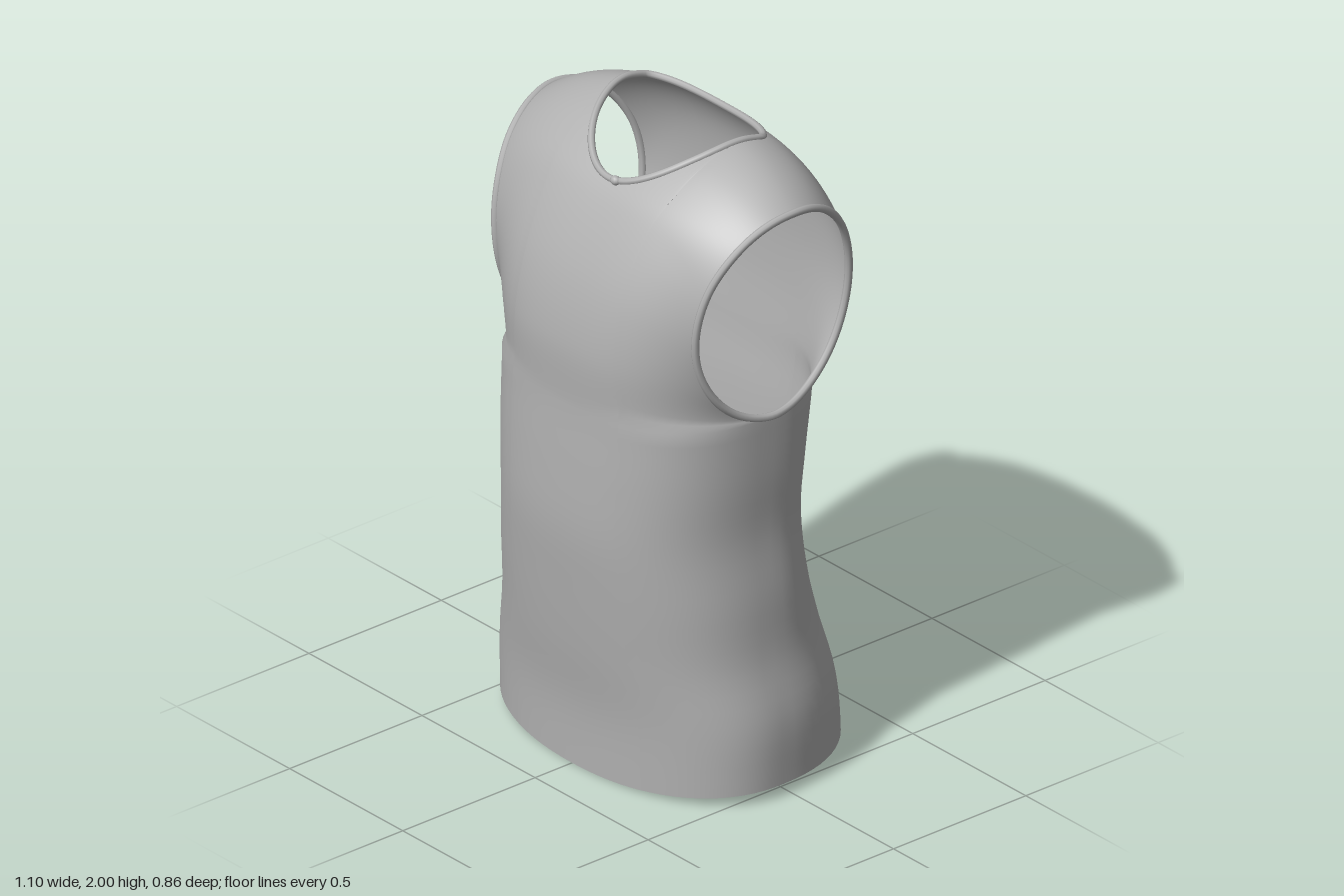
import * as THREE from 'three';
import { mergeGeometries, mergeVertices } from 'three/addons/utils/BufferGeometryUtils.js';

const V = (x, y, z) => new THREE.Vector3(x, y, z);
const NECK = 0.49;      // neck opening as a share of the half width
const JOIN = 1.2;       // height where the armholes begin

// Smooth curve through evenly spaced values
const track = (values) => {
  const c = new THREE.SplineCurve(values.map((v, i) => new THREE.Vector2(i, v)));
  return (t) => c.getPoint(THREE.MathUtils.clamp(t, 0, 1)).y;
};

// Lower body, hem to armhole: half width, front depth, back depth
const halfWidth = track([0.55, 0.545, 0.505, 0.49, 0.47, 0.475, 0.475]);
const frontZ = track([0.36, 0.365, 0.39, 0.41, 0.425, 0.42, 0.41]);
const backZ = track([-0.43, -0.4, -0.34, -0.28, -0.26, -0.275, -0.305]);

// Upper body centre line: (z, y) from chest over the shoulder to the back
const centreArch = new THREE.CatmullRomCurve3([[0.41, JOIN], [0.41, 1.4], [0.365, 1.6],
  [0.265, 1.8], [0.2, 1.875], [0.08, 1.96], [-0.05, 2.0], [-0.17, 1.97], [-0.255, 1.9],
  [-0.31, 1.8], [-0.335, 1.6], [-0.33, 1.4], [-0.305, JOIN]].map(([z, y]) => V(0, y, z)));

// Armhole: an oval, and its distance from the middle
const armWidth = track([0.475, 0.453, 0.438, 0.458, 0.495, 0.52, 0.53, 0.52, 0.495, 0.465, 0.45, 0.455, 0.475]);
function armPoint(t) {
  const h = t <= 0.5 ? t : 1 - t;
  const a = (Math.PI / 2) * (2 * h + Math.sin(Math.PI * h));
  const side = t <= 0.5 ? 1 : -1;
  return V(0, JOIN + 0.335 * (1 - Math.cos(a)), 0.283 * side * Math.sin(a) - 0.012 * (1 - Math.cos(a)));
}

const bulge = (s, a, b) => Math.pow(Math.max(0, 1 - Math.pow(Math.abs(s), a)), b);

// Point on the lower body: s across (-1..1), v up (0..1), side +1 front or -1 back
function lowerPoint(s, v, side) {
  const hem = side > 0 ? 0.04 * s * s : 0.04;
  const seam = 0.04 * (1 - v);
  const depth = side > 0 ? frontZ(v) : backZ(v);
  const n = 2.3 + 0.3 * v;
  return V(s * halfWidth(v), v * JOIN + hem * (1 - v), seam + (depth - seam) * bulge(s, n, 1 / n));
}

// Point on the upper body: t runs from chest (0) over the shoulder to the back (1)
function upperPoint(s, t) {
  const k = Math.sqrt(Math.max(0, Math.sin(Math.PI * t)));
  const w = bulge(s, 2.6 + 0.4 * k, THREE.MathUtils.lerp(1 / 2.6, 1, k));
  const p = armPoint(t).lerp(centreArch.getPoint(t), w);
  p.x = s * armWidth(t);
  return p;
}

// Where a panel ends: neckline in the middle, shoulder seam outside it
function topEdge(s, side) {
  const r = Math.abs(s) / NECK;
  let z;
  if (r < 0.9999) z = side > 0 ? -0.13 + 0.35 * Math.pow(1 - r * r, 0.42) : -0.13 - 0.08 * Math.sqrt(1 - r * r);
  else z = -0.13 + 0.11 * (Math.abs(s) - NECK) / (1 - NECK);
  let a = 0.25, b = 0.75;
  for (let i = 0; i < 30; i++) {
    const m = (a + b) / 2;
    if (upperPoint(s, m).z > z) a = m; else b = m;
  }
  return (a + b) / 2;
}

// Columns, closer together at the neck corners and at the sides
const columns = [];
for (let i = 0; i < 14; i++) columns.push(-1 + (1 - NECK) * (i / 14) ** 2);
for (let i = 0; i <= 24; i++) columns.push(NECK * Math.sin((i / 24 - 0.5) * Math.PI));
for (let i = 13; i >= 0; i--) columns.push(1 - (1 - NECK) * (i / 14) ** 2);

function panel(side) {
  const LOW = 26, UP = 36, rows = LOW + UP + 1;
  const pos = [], index = [];
  for (const s of columns) {
    const end = topEdge(s, side), start = side > 0 ? 0 : 1;
    for (let j = 0; j < rows; j++) {
      const p = j < LOW ? lowerPoint(s, j / LOW, side)
        : upperPoint(s, start + (end - start) * (j - LOW) / UP);
      pos.push(p.x, p.y, p.z);
    }
  }
  for (let i = 0; i < columns.length - 1; i++) {
    for (let j = 0; j < rows - 1; j++) {
      const a = i * rows + j, b = a + rows;
      if (side > 0) index.push(a, b, b + 1, a, b + 1, a + 1);
      else index.push(a, b + 1, b, a, a + 1, b + 1);
    }
  }
  const g = new THREE.BufferGeometry();
  g.setAttribute('position', new THREE.Float32BufferAttribute(pos, 3));
  g.setIndex(index);
  return g;
}

export function createModel() {
  const group = new THREE.Group();
  group.name = 'sleevelessShirt';
  const cloth = new THREE.MeshStandardMaterial({ color: 0xb0b0b0, side: THREE.DoubleSide });
  cloth.name = 'grey cloth';
  const add = (name, geometry) => {
    const m = new THREE.Mesh(geometry, cloth);
    m.name = name;
    group.add(m);
    return m;
  };

  // Front and back panels welded along the side and shoulder seams
  const body = mergeVertices(mergeGeometries([panel(1), panel(-1)]), 1e-4);
  body.computeVertexNormals();
  add('body', body);

  // Rolled trims around the openings
  const trim = (name, pts, radius) => add(name, new THREE.TubeGeometry(
    new THREE.CatmullRomCurve3(pts, true), 120, radius, 8, true));
  const neck = columns.filter((s) => Math.abs(s) <= NECK + 1e-6);
  trim('neckTrim', [
    ...neck.map((s) => upperPoint(s, topEdge(s, 1))),
    ...neck.slice(1, -1).reverse().map((s) => upperPoint(s, topEdge(s, -1))),
  ], 0.011);
  for (const s of [-1, 1]) {
    const pts = Array.from({ length: 48 }, (_, i) => upperPoint(s, i / 48));
    trim(s > 0 ? 'leftArmholeTrim' : 'rightArmholeTrim', pts, 0.012);
  }

  // Small overlap of the trim at the front of the neck
  const tab = add('neckTab', new THREE.SphereGeometry(0.018, 12, 8));
  tab.position.set(0.03, 1.86, 0.222);
  tab.scale.set(1, 0.8, 0.8);
  return group;
}
